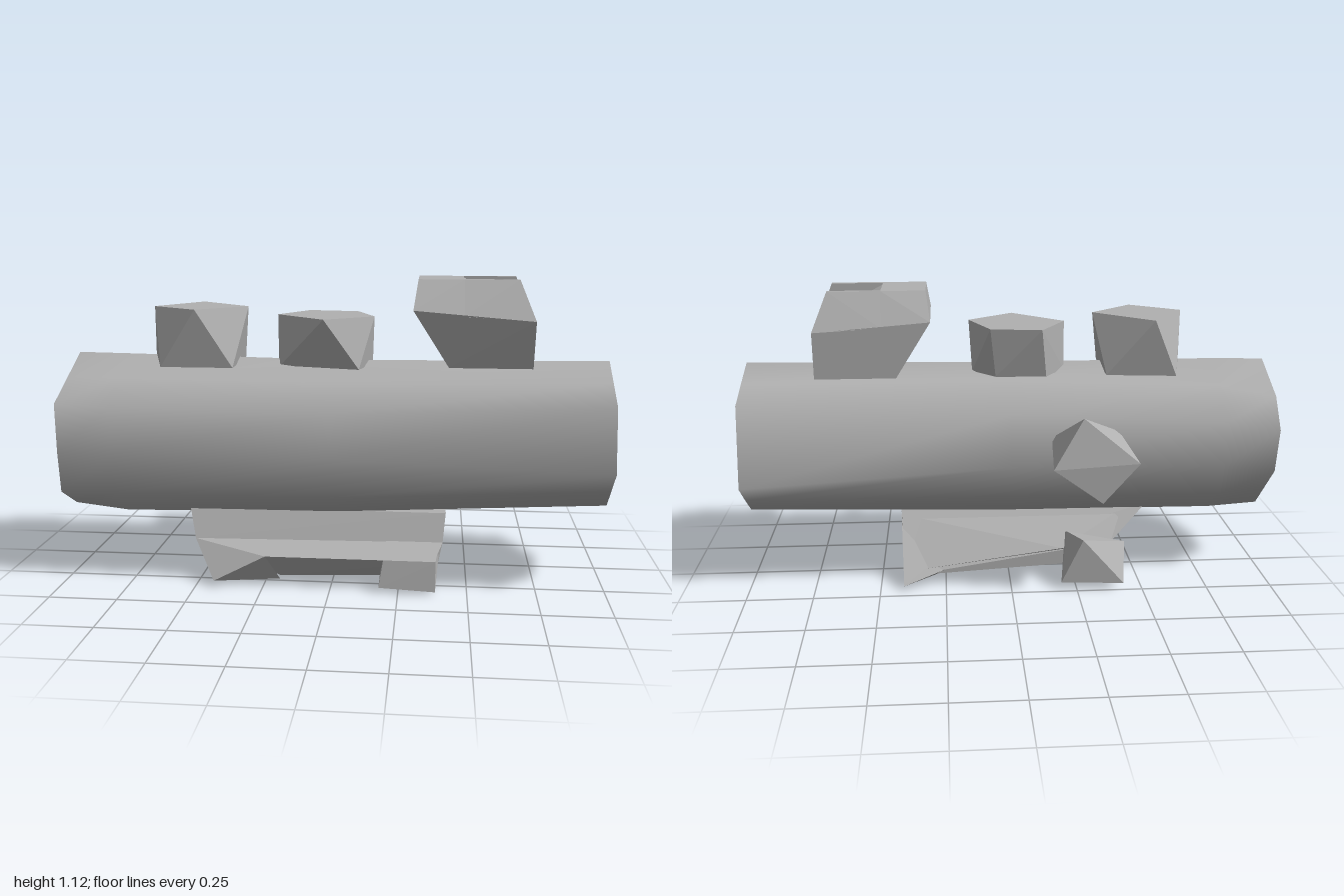
import * as THREE from 'three';
import { ConvexGeometry } from 'three/addons/geometries/ConvexGeometry.js';

const grey = new THREE.MeshStandardMaterial({ color: 0xb0b0b0 });
grey.name = 'plainGrey';

// Faceted solid wrapped around a few corner points
function hull(name, points) {
  const mesh = new THREE.Mesh(new ConvexGeometry(points.map(p => new THREE.Vector3(...p))), grey);
  mesh.name = name;
  return mesh;
}

// Flat-shaded mesh from a list of triangle corners
function facets(name, corners) {
  const g = new THREE.BufferGeometry().setFromPoints(corners.map(p => new THREE.Vector3(...p)));
  g.computeVertexNormals();
  const mesh = new THREE.Mesh(g, grey);
  mesh.name = name;
  return mesh;
}

// Cross-sections of the barrel as [z, y], from the top round by the front
const stations = [
  { x: -1, ring: [[.05, .83], [.2, .755], [.35, .68], [.345, .5], [.325, .345], [.17, .26], [0, .25], [-.1, .35], [-.2, .45], [-.23, .62], [-.15, .73]] },
  { x: -.8, ring: [[.07, .83], [.23, .76], [.355, .67], [.355, .5], [.325, .345], [.15, .23], [-.01, .24], [-.16, .35], [-.22, .48], [-.22, .65], [-.1, .76]] },
  { x: 0, ring: [[.1, .82], [.25, .755], [.35, .66], [.36, .5], [.33, .35], [.18, .255], [-.02, .25], [-.19, .37], [-.24, .5], [-.2, .69], [-.05, .785]] },
  { x: 1, ring: [[.11, .83], [.22, .765], [.33, .7], [.375, .47], [.29, .39], [.21, .315], [-.02, .275], [-.12, .35], [-.22, .43], [-.16, .73], [-.03, .78]] }
];

function buildBarrel() {
  const group = new THREE.Group();
  group.name = 'barrel';
  const n = stations[0].ring.length;
  const rings = stations.map(s => s.ring.map(([z, y]) => [s.x, y, z]));

  // Smooth skin lofted through the cross-sections
  const index = [];
  for (let s = 0; s < rings.length - 1; s++) {
    for (let i = 0; i < n; i++) {
      const j = (i + 1) % n, a = s * n, b = a + n;
      index.push(a + i, a + j, b + i, a + j, b + j, b + i);
    }
  }
  const g = new THREE.BufferGeometry();
  g.setAttribute('position', new THREE.Float32BufferAttribute(rings.flat(2), 3));
  g.setIndex(index);
  g.computeVertexNormals();
  const skin = new THREE.Mesh(g, grey);
  skin.name = 'barrelSkin';
  group.add(skin);

  // Flat closed end
  const first = rings[0], closed = [];
  for (let i = 1; i < n - 1; i++) closed.push(first[0], first[i + 1], first[i]);
  group.add(facets('closedEnd', closed));

  // Dented end: flat triangle on top, shallow fold behind, deeper hollow in front
  const r = rings[rings.length - 1], fold = [.93, .665, -.09], hollow = [.87, .5, .24];
  const end = [
    r[0], r[1], r[2], r[0], r[2], r[9], r[0], r[9], r[10],
    fold, r[9], r[2], fold, r[2], hollow, hollow, r[6], fold
  ];
  for (let i = 2; i < 6; i++) end.push(hollow, r[i], r[i + 1]);
  for (let i = 6; i < 9; i++) end.push(fold, r[i], r[i + 1]);
  group.add(facets('dentedEnd', end));
  return group;
}

function buildKnobs() {
  const group = new THREE.Group();
  group.name = 'knobs';
  const level = (y, pts) => pts.map(([x, z]) => [x, y, z]);
  group.add(hull('endKnob', [
    ...level(1.015, [[-.54, -.11], [-.33, .08], [-.5, .24], [-.68, .11]]),
    ...level(.8, [[-.63, -.09], [-.37, -.06], [-.37, .21], [-.64, .21]]),
    [-.68, .84, .11]
  ]));
  group.add(hull('middleKnob', [
    ...level(.985, [[-.12, -.11], [.07, -.08], [.145, .115], [-.03, .255], [-.22, .07]]),
    ...level(.8, [[.095, .21], [-.205, .13], [.135, .04], [-.14, -.07], [.05, -.06], [-.22, .06]])
  ]));
  group.add(hull('backKnob', [
    [-.45, .55, -.375], [-.25, .71, -.335], [-.14, .53, -.37], [-.32, .4, -.37],
    [-.15, .6, -.2], [-.4, .62, -.2], [-.4, .47, -.2], [-.2, .44, -.2]
  ]));
  return group;
}

function buildHopper() {
  const group = new THREE.Group();
  group.name = 'hopper';
  const brim = [[.29, 1.02, .258], [.72, .985, .258], [.29, 1.02, -.115], [.72, .985, -.11]];
  group.add(hull('hopperBase', [...brim, [.42, .81, .2], [.72, .81, .2], [.42, .81, -.1], [.72, .81, -.1]]));
  // Solid half of the cap
  group.add(hull('hopperCap', [
    [.29, 1.02, .258], [.29, 1.02, -.115], [.305, 1.125, .175], [.305, 1.125, -.045],
    [.47, 1.005, .255], [.47, 1.005, -.113], [.47, 1.125, .175], [.47, 1.125, -.045]
  ]));
  // Rails either side of the notch
  for (const [outer, top, inner] of [[.257, .175, .15], [-.112, -.045, -.03]]) {
    group.add(hull('hopperRail', [
      [.47, 1, outer], [.72, .985, outer], [.47, 1.125, top], [.665, 1.125, top],
      [.47, 1, inner], [.72, .985, inner], [.47, 1.125, inner], [.665, 1.125, inner]
    ]));
  }
  // Sloping notch floor
  group.add(hull('notchRamp', [
    [.47, 1.12, .15], [.47, 1.12, -.03], [.47, 1, .15], [.47, 1, -.03], [.72, .988, .15], [.72, .988, -.03]
  ]));
  return group;
}

function buildStand() {
  const group = new THREE.Group();
  group.name = 'stand';
  const top = [[-.55, .26, .18], [.42, .26, .18], [-.55, .26, -.01], [.42, .26, -.01]];
  // Central block
  group.add(hull('standCore', [
    ...top, [-.52, .15, .23], [.41, .16, .225], [-.4, .13, -.09], [.41, .12, -.11],
    [-.25, .03, .2], [.39, .05, .2], [-.25, .05, -.1], [.4, .045, -.17]
  ]));
  // Front skirt and its feet
  group.add(hull('frontSkirt', [
    [-.52, .15, .23], [.41, .16, .225], [-.24, .12, .33], [.38, .12, .33],
    [-.2, .01, .22], [.18, .02, .21], [.39, .05, .2]
  ]));
  group.add(hull('frontFoot', [
    [.195, .12, .33], [.385, .12, .33], [.18, .02, .345], [.385, .01, .345],
    [.4, .16, .225], [.2, .16, .225], [.39, .05, .2], [.18, .05, .2]
  ]));
  group.add(hull('frontFoot', [
    [-.52, .15, .23], [-.24, .12, .33], [-.43, .025, .345], [-.2, 0, .23], [-.35, .1, .15]
  ]));
  // Back skirt and its feet
  group.add(hull('backSkirt', [
    [.42, .24, -.02], [-.45, .24, -.02], [-.4, .14, -.1], [-.2, .13, -.14], [.39, .06, -.16], [.3, .05, 0], [-.25, .06, 0]
  ]));
  group.add(hull('backFoot', [
    [.42, .24, -.02], [.41, .02, -.21], [.1, .1, -.1], [.39, .05, .2], [.2, .05, -.1], [.1, .2, -.02]
  ]));
  group.add(hull('backFoot', [
    [-.45, .14, -.11], [-.22, .17, -.07], [-.27, .205, -.245], [-.22, .2, -.14],
    [-.43, .02, -.235], [-.19, .03, -.235], [-.3, .03, -.07]
  ]));
  return group;
}

export function createModel() {
  const model = new THREE.Group();
  model.name = 'barrelWithKnobs';
  model.add(buildBarrel(), buildKnobs(), buildHopper(), buildStand());
  return model;
}
